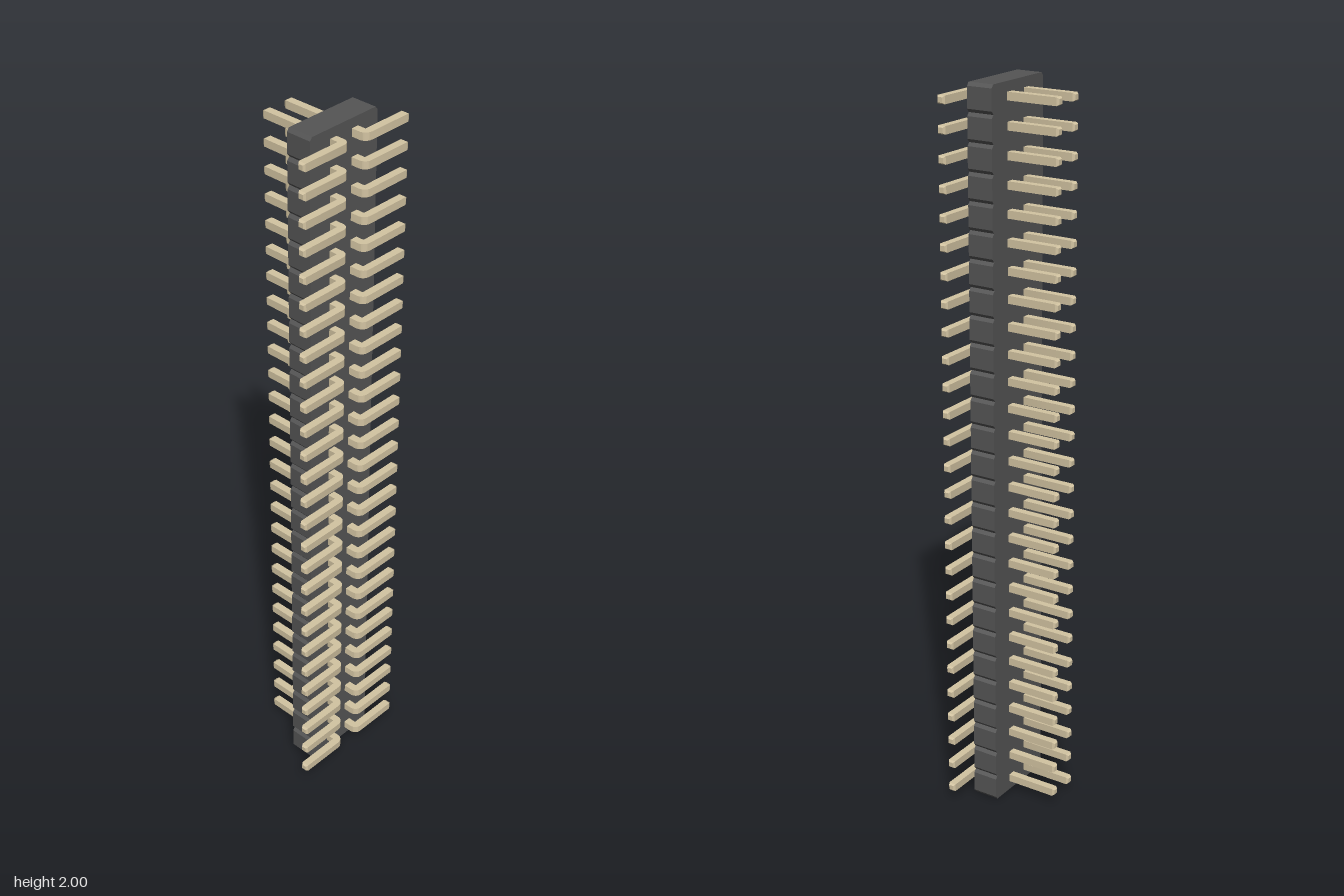
import * as THREE from 'three';
import { mergeGeometries, toCreasedNormals } from 'three/addons/utils/BufferGeometryUtils.js';

const ROWS = 27;
const PITCH = 2 / ROWS;
const T = 0.0213; // pin thickness
const TIP = 0.006; // length of the tapered pin ends

// Housing outline: one chamfered block per row, extruded from back to front
function housingGeometry() {
  const half = 0.115, notch = 0.007, chamfer = 0.009;
  const right = [];
  for (let i = 0; i < ROWS; i++) {
    const y0 = i * PITCH, y1 = y0 + PITCH;
    if (i === 0) right.push([half - notch, y0]);
    right.push([half, y0 + chamfer], [half, y1 - chamfer], [half - notch, y1]);
  }
  const left = right.map(([x, y]) => [-x, y]).reverse();
  const shape = new THREE.Shape([...right, ...left].map(([x, y]) => new THREE.Vector2(x, y)));
  const geo = new THREE.ExtrudeGeometry(shape, { depth: 0.073, bevelEnabled: false });
  return geo.translate(0, 0, 0.015);
}

// Square frustum pointing up +y, sitting on y = 0
function tipGeometry() {
  const r = T * Math.SQRT1_2;
  return new THREE.CylinderGeometry(r * 0.64, r, TIP, 4, 1)
    .toNonIndexed().rotateY(Math.PI / 4).translate(0, TIP / 2, 0);
}

// Right-angle pin: straight at the back, bent outwards at the front
function pinGeometry() {
  const x0 = 0.0262, x1 = x0 + T, back = -0.128, front = 0.1325, end = 0.1755;
  const shape = new THREE.Shape();
  shape.moveTo(x0, back);
  shape.lineTo(x1, back);
  shape.lineTo(x1, front - T);
  shape.lineTo(end, front - T);
  shape.lineTo(end, front);
  shape.lineTo(x0 + T, front);
  shape.absarc(x0 + T, front - T, T, Math.PI / 2, Math.PI, false);
  shape.closePath();
  const bent = new THREE.ExtrudeGeometry(shape, { depth: T, bevelEnabled: false, curveSegments: 8 });
  bent.translate(0, 0, -T / 2).rotateX(Math.PI / 2);
  const backTip = tipGeometry().rotateX(-Math.PI / 2).translate(x0 + T / 2, 0, back);
  const endTip = tipGeometry().rotateZ(-Math.PI / 2).translate(end, 0, front - T / 2);
  return toCreasedNormals(mergeGeometries([bent, backTip, endTip]), 0.5);
}

export function createModel() {
  const group = new THREE.Group();
  group.name = 'pinHeader';
  const plastic = new THREE.MeshStandardMaterial({ color: 0x555555 });
  const metal = new THREE.MeshStandardMaterial({ color: 0xd3c4a2 });

  const housing = new THREE.Mesh(housingGeometry(), plastic);
  housing.name = 'housing';
  group.add(housing);

  // Two columns of pins, the right one turned half round to face outwards
  const pinGeo = pinGeometry();
  for (const side of ['left', 'right']) {
    const column = new THREE.Group();
    column.name = side + 'Pins';
    for (let i = 0; i < ROWS; i++) {
      const pin = new THREE.Mesh(pinGeo, metal);
      pin.name = side + 'Pin' + (i + 1);
      pin.position.y = (i + 0.5) * PITCH;
      if (side === 'right') pin.rotation.z = Math.PI;
      column.add(pin);
    }
    group.add(column);
  }
  return group;
}
